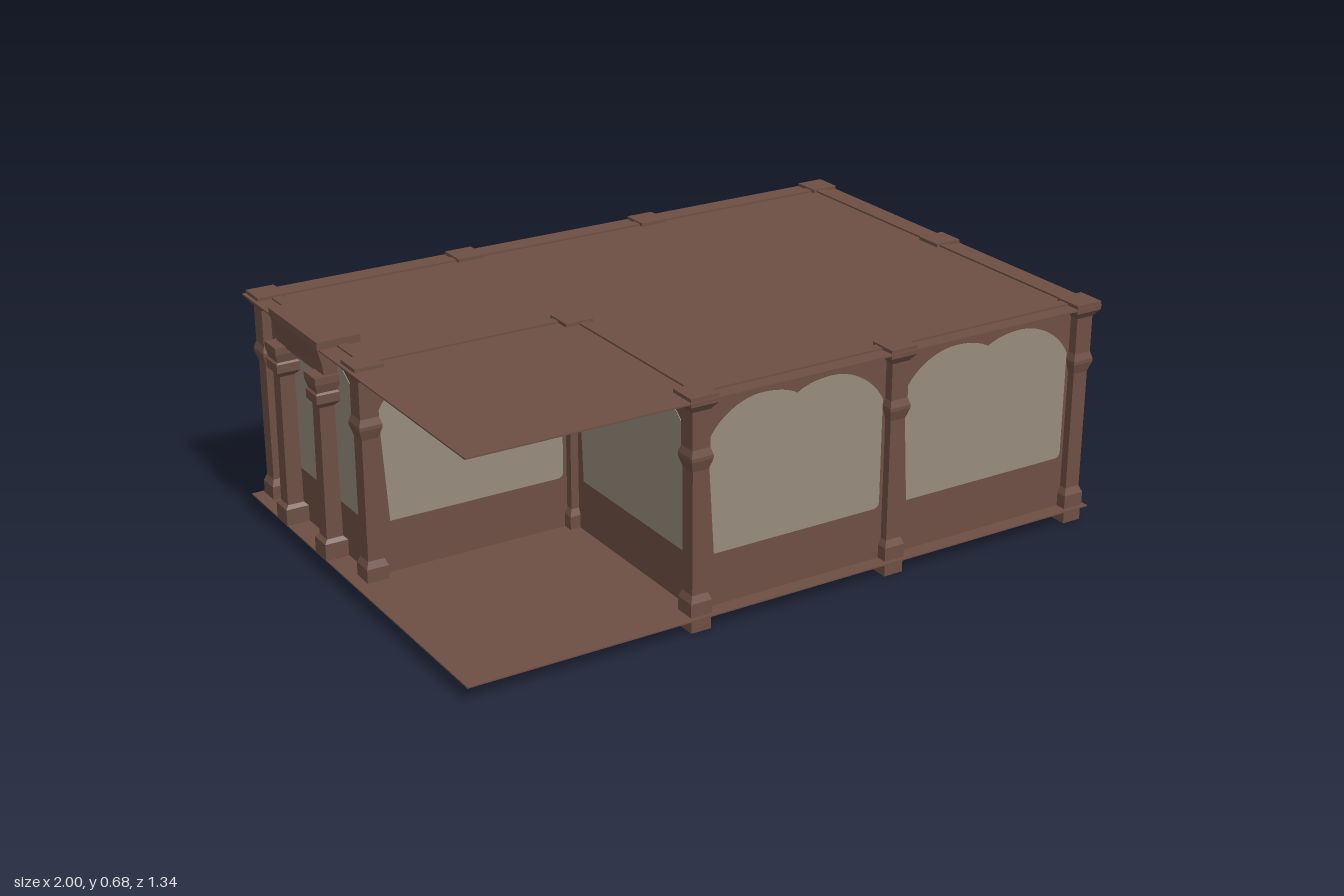
import * as THREE from 'three';

const brown = new THREE.MeshStandardMaterial({ color: 0x6d4f44 });
brown.name = 'brown timber';
const beige = new THREE.MeshStandardMaterial({ color: 0x968b7b });
beige.name = 'beige plaster';

const FLOOR = 0.046, ROOF = 0.655, TOP = 0.66, THICK = 0.03;
const XS = [-0.928, -0.305, 0.318, 0.953], ZS = [-0.63, -0.004, 0.62];

function mesh(name, geo, mat, parent, x = 0, y = 0, z = 0) {
  const m = new THREE.Mesh(geo, mat);
  m.name = name;
  m.position.set(x, y, z);
  parent.add(m);
  return m;
}

// box given by its lower and upper corners
function slab(name, parent, x0, y0, z0, x1, y1, z1) {
  return mesh(name, new THREE.BoxGeometry(x1 - x0, y1 - y0, z1 - z0), brown, parent,
    (x0 + x1) / 2, (y0 + y1) / 2, (z0 + z1) / 2);
}

// square-section pillar from [half width, height] pairs
function squareLathe(profile) {
  const pts = profile.map(([r, y]) => new THREE.Vector2(r * Math.SQRT2, y));
  const geo = new THREE.LatheGeometry(pts, 4, Math.PI / 4).toNonIndexed();
  geo.computeVertexNormals();
  return geo;
}

const poly = (pts, Type = THREE.Shape) => new Type(pts.map(([x, y]) => new THREE.Vector2(x, y)));
const hole = pts => poly(pts, THREE.Path);

function extrude(shape, z0, z1) {
  const geo = new THREE.ExtrudeGeometry(shape, { depth: z1 - z0, bevelEnabled: false, curveSegments: 10 });
  return geo.translate(0, 0, z0);
}

// opening cut in walls, a little smaller than the window frame
const opening = () => hole([[-0.09, 0.21], [0.09, 0.21], [0.09, 0.5], [0.04, 0.535], [-0.04, 0.535], [-0.09, 0.5]]);

// plaster field with a double-arched top
function plasterShape(w) {
  const s = new THREE.Shape();
  s.moveTo(-w + 0.02, 0.197);
  s.lineTo(w - 0.02, 0.197);
  s.quadraticCurveTo(w, 0.197, w, 0.217);
  s.lineTo(w, 0.515);
  s.bezierCurveTo(w - 0.03, 0.575, w - 0.1, 0.617, 0.11, 0.617);
  s.bezierCurveTo(0.07, 0.617, 0.03, 0.61, 0, 0.592);
  s.bezierCurveTo(-0.03, 0.61, -0.07, 0.617, -0.11, 0.617);
  s.bezierCurveTo(-w + 0.1, 0.617, -w + 0.03, 0.575, -w, 0.515);
  s.closePath();
  return s;
}

// pointed frame with a pierced lattice
function windowShape() {
  const s = new THREE.Shape();
  s.moveTo(-0.105, 0.19);
  s.lineTo(0.105, 0.19);
  s.lineTo(0.105, 0.502);
  s.quadraticCurveTo(0.065, 0.545, 0, 0.553);
  s.quadraticCurveTo(-0.065, 0.545, -0.105, 0.502);
  s.closePath();
  // square panes
  for (let c = 0; c < 4; c++) for (let r = 0; r < 4; r++) {
    const x = -0.0725 + c * 0.038, y = 0.228 + r * 0.0435;
    s.holes.push(hole([[x, y], [x + 0.031, y], [x + 0.031, y + 0.036], [x, y + 0.036]]));
  }
  // crossed tracery and small panes under the arch
  for (const m of [-1, 1]) {
    const tri = pts => s.holes.push(hole(pts.map(([x, y]) => [x * m, y])));
    tri([[0.012, 0.412], [0.062, 0.412], [0.037, 0.432]]);
    tri([[0.012, 0.472], [0.062, 0.472], [0.037, 0.452]]);
    tri([[0.005, 0.419], [0.031, 0.442], [0.005, 0.465]]);
    tri([[0.072, 0.419], [0.072, 0.465], [0.043, 0.442]]);
    tri([[0.03, 0.503], [0.07, 0.503], [0.062, 0.516]]);
    tri([[0.014, 0.508], [0.05, 0.523], [0.02, 0.537]]);
  }
  return s;
}

// one wall bay: local x runs along the wall, local +z faces outside
function bay(name, parent, x, z, turn, length, hasWindow) {
  const g = new THREE.Group();
  g.name = name;
  g.position.set(x, 0, z);
  g.rotation.y = turn;
  parent.add(g);
  const h = length / 2;
  const wall = poly([[-h, FLOOR], [h, FLOOR], [h, TOP], [-h, TOP]]);
  const field = plasterShape(h - 0.036);
  if (hasWindow) {
    wall.holes.push(opening());
    field.holes.push(opening());
  }
  mesh('wall', extrude(wall, -THICK, 0), brown, g);
  mesh('plaster', extrude(field, -THICK - 0.002, 0.002), beige, g);
  if (hasWindow) mesh('windowLattice', extrude(windowShape(), -THICK - 0.006, 0.008), brown, g);
  return g;
}

// doorway: flanking pilasters, canopy and inner door leaf
function addDoorway(g) {
  const pilaster = squareLathe([[0, FLOOR], [0.034, FLOOR], [0.034, 0.095], [0.024, 0.105], [0.022, 0.49],
    [0.034, 0.505], [0.034, 0.53], [0.029, 0.535], [0.036, 0.56], [0.036, 0.58], [0, 0.58]]);
  for (const s of [-1, 1]) mesh('doorPilaster', pilaster, brown, g, s * 0.13, 0, 0.036);
  slab('canopyTop', g, -0.158, 0.655, -0.068, 0.158, 0.677, 0.058);
  const under = poly([[0, 0.575], [0.04, 0.575], [0.045, 0.61], [0.056, 0.655], [0, 0.655]]);
  const geo = new THREE.ExtrudeGeometry(under, { depth: 0.31, bevelEnabled: false });
  const cove = mesh('canopyCove', geo, brown, g, 0.155, 0, 0);
  cove.rotation.y = -Math.PI / 2;
  slab('doorLeaf', g, -0.1, FLOOR, -0.04, 0.1, 0.54, -0.029);
}

export function createModel() {
  const model = new THREE.Group();
  model.name = 'building';

  slab('floor', model, -0.995, FLOOR - 0.004, -0.672, 0.995, FLOOR, 0.665);
  slab('roof', model, -0.98, ROOF - 0.004, -0.676, 0.995, ROOF, 0.666);

  // posts at every grid point except the open front corner
  const post = squareLathe([[0, 0], [0.03, 0], [0.03, 0.04], [0.032, 0.045], [0.032, 0.085], [0.026, 0.1],
    [0.024, 0.105], [0.024, 0.455], [0.033, 0.485], [0.033, 0.495], [0.027, 0.515], [0.027, 0.62],
    [0.038, 0.635], [0.042, 0.64], [0.042, 0.665], [0, 0.665]]);
  XS.forEach((x, i) => ZS.forEach((z, j) => {
    if ((i === 0 && j === 2) || (i === 2 && j === 1)) return;
    mesh('post', post, brown, model, x, 0, z);
  }));

  // front and back bays
  for (let i = 0; i < 3; i++) {
    const mid = (XS[i] + XS[i + 1]) / 2, len = XS[i + 1] - XS[i];
    bay('frontBay', model, mid, i === 0 ? ZS[1] : ZS[2], 0, len, false);
    bay('backBay', model, mid, ZS[0], Math.PI, len, i === 1);
  }
  // side bays
  for (let j = 0; j < 2; j++) {
    const mid = (ZS[j] + ZS[j + 1]) / 2, len = ZS[j + 1] - ZS[j];
    bay('leftBay', model, XS[3], mid, Math.PI / 2, len, j === 0);
    const side = bay('rightBay', model, j === 0 ? XS[0] : XS[1], mid, -Math.PI / 2, len, false);
    if (j === 0) addDoorway(side);
  }
  return model;
}
